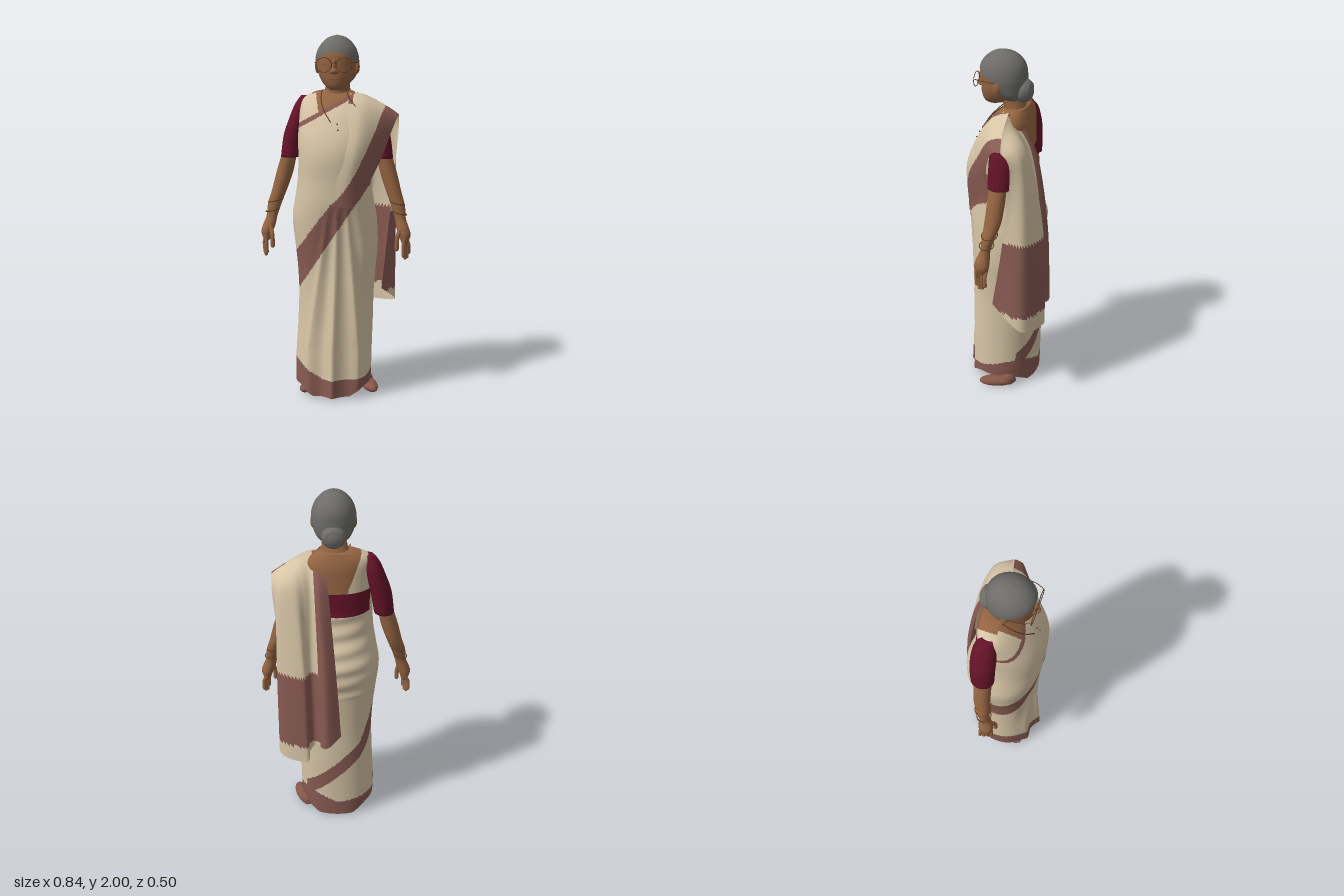
import * as THREE from 'three';

const mat = (name, color) => {
  const m = new THREE.MeshStandardMaterial({ color, side: THREE.DoubleSide });
  m.name = name;
  return m;
};
const M = {
  cream: mat('cream cloth', 0xd6c4a6), border: mat('rose border', 0x875a52), blouse: mat('maroon blouse', 0x641328),
  skin: mat('skin', 0x946442), hair: mat('grey hair', 0x6d6c69), metal: mat('dark bronze', 0x5a3822),
  lips: mat('lips', 0x8a5843), shoe: mat('shoe', 0x85564a),
};
const clamp = (v) => Math.min(1, Math.max(0, v));

// Catmull-Rom through rows of numbers, t in 0..rows-1
function spline(rows, t) {
  const n = rows.length - 1, i = Math.min(n - 1, Math.floor(t)), f = t - i;
  const [a, b, c, d] = [Math.max(0, i - 1), i, i + 1, Math.min(n, i + 2)].map((k) => rows[k]);
  return b.map((p, k) => p + 0.5 * f * (c[k] - a[k] + f * (2 * a[k] - 5 * p + 4 * c[k] - d[k] + f * (3 * (p - c[k]) + d[k] - a[k]))));
}

// Grid of points to a mesh; paint(centre, t, v) picks a material per triangle, or null for a gap
function skinGrid(name, grid, wrap, paint, cap) {
  const m = grid.length, n = grid[0].length, pos = grid.flat().flatMap((p) => [p.x, p.y, p.z]);
  const buckets = new Map();
  const add = (material, ...ids) => {
    if (!material) return;
    if (!buckets.has(material)) buckets.set(material, []);
    buckets.get(material).push(...ids);
  };
  const flat = grid.flat(), c = new THREE.Vector3();
  const tri = (t, v, ...ids) => {
    c.set(0, 0, 0);
    for (const id of ids) c.addScaledVector(flat[id], 1 / 3);
    add(paint(c, t, v), ...ids);
  };
  for (let j = 0; j < m - 1; j++) for (let i = 0; i < (wrap ? n : n - 1); i++) {
    const k = (i + 1) % n, a = j * n + i, b = j * n + k, u = a + n, d = b + n;
    tri((j + 0.33) / (m - 1), (i + 0.33) / (n - 1), a, u, b);
    tri((j + 0.67) / (m - 1), (i + 0.67) / (n - 1), b, u, d);
  }
  if (cap) for (const j of [0, m - 1]) {
    const mid = grid[j].reduce((s, p) => s.add(p), new THREE.Vector3()).divideScalar(n);
    const id = pos.length / 3;
    pos.push(mid.x, mid.y, mid.z);
    for (let i = 0; i < n; i++) {
      const a = j * n + i, b = j * n + (i + 1) % n;
      add(paint(mid, j / (m - 1), 0), id, ...(j ? [b, a] : [a, b]));
    }
  }
  const g = new THREE.BufferGeometry(), index = [], mats = [];
  g.setAttribute('position', new THREE.Float32BufferAttribute(pos, 3));
  for (const [material, ids] of buckets) {
    g.addGroup(index.length, ids.length, mats.length);
    for (const id of ids) index.push(id);
    mats.push(material);
  }
  g.setIndex(index);
  g.computeVertexNormals();
  const mesh = new THREE.Mesh(g, mats);
  mesh.name = name;
  return mesh;
}

// Rings from rows [y, xMin, xMax, zBack, zFront], listed upwards
function loft(name, rows, paint, { n = 28, m = 32, p = 1, mirror = 1, deform, cap = true } = {}) {
  const grid = [];
  for (let j = 0; j <= m; j++) {
    let [y, x0, x1, z0, z1] = spline(rows, (j / m) * (rows.length - 1));
    if (mirror < 0) [x0, x1] = [-x1, -x0];
    grid.push(Array.from({ length: n }, (_, i) => {
      const a = (i / n) * Math.PI * 2, c = Math.cos(a), s = Math.sin(a);
      const v = new THREE.Vector3((x0 + x1) / 2 + (x1 - x0) / 2 * Math.sign(c) * Math.abs(c) ** p, y,
        (z0 + z1) / 2 + (z1 - z0) / 2 * Math.sign(s) * Math.abs(s) ** p);
      if (deform) deform(v, s);
      return v;
    }));
  }
  return skinGrid(name, grid, true, typeof paint === 'function' ? paint : () => paint, cap);
}

// Cloth through rows of points laid flat as x,y,z,x,y,z...
function sheet(name, rows, paint, m = 70, n = 50) {
  const grid = [];
  for (let j = 0; j <= m; j++) {
    const r = spline(rows, (j / m) * (rows.length - 1));
    const pts = Array.from({ length: r.length / 3 }, (_, i) => r.slice(i * 3, i * 3 + 3));
    grid.push(Array.from({ length: n + 1 }, (_, i) => new THREE.Vector3(...spline(pts, (i / n) * (pts.length - 1)))));
  }
  return skinGrid(name, grid, false, paint, false);
}

function part(name, geometry, material, p = [0, 0, 0], s = [1, 1, 1], r = [0, 0, 0]) {
  const mesh = new THREE.Mesh(geometry, material);
  mesh.name = name;
  mesh.position.set(...p);
  mesh.scale.set(...s);
  mesh.rotation.set(...r);
  return mesh;
}
const ball = new THREE.SphereGeometry(1, 20, 14);
const tube = (pts, r) => new THREE.TubeGeometry(new THREE.CatmullRomCurve3(pts.map((p) => new THREE.Vector3(...p))), 14, r, 8);

// Colours of the wrapped dress
function paintBody({ x, y, z }) {
  const hem = 0.115 + 0.09 * clamp((-x - 0.05) / 0.15) * (z > 0 ? 1 : 0.2) + 0.1 * clamp(x / 0.2) * clamp((0.14 - z) / 0.3);
  if (y < hem) return M.border;
  if (z > 0.02) {
    if (y < 1.10 + 1.33 * x && y > 0.9 + 1.5 * x) return M.border;
    const trim = y - (1.62 + 0.55 * x);
    if (Math.abs(trim) < 0.013 && y > 1.5) return M.border;
    return trim > 0 && x > -0.1 - 0.3 * (y - 1.66) && x < 0.08 && y > 1.57 ? M.skin : M.cream;
  }
  // border winding round the right hip and down across the back
  const turn = x < -0.1 ? clamp((z + 0.12) / 0.14) : 0;
  if (x < 0.17 && Math.abs(y - (0.34 - 0.95 * x + 0.18 * turn)) < 0.052 + 0.06 * turn) return M.border;
  if (y > 1.48 && x > -0.06 - 0.35 * (y - 1.48) && (z < -0.03 || y > 1.66)) return M.skin;
  return z < -0.03 && y > 1.35 && y < 1.48 ? M.blouse : M.cream;
}
// Fanned pleats in front, soft wrinkles behind, hem lifted over the feet
function foldBody(v, s) {
  const low = clamp((1.08 - v.y) / 0.8);
  if (s > 0) {
    const fan = (v.x - 0.05) / (0.35 + 0.65 * low);
    v.z += 0.04 * Math.sqrt(low) * s * (0.4 - Math.abs(Math.sin(22 * fan + 0.9))) * clamp(1.5 - 5 * Math.abs(fan));
  } else if (v.y > 0.85 && v.y < 1.35) v.z += 0.005 * s * Math.sin(v.y * 62 + v.x * 9);
  if (v.y < 0.12) v.y += (0.12 - v.y) * 0.5 * clamp((Math.abs(v.x) - 0.1) / 0.08);
}

function makeArm(side) {
  const arm = new THREE.Group();
  arm.name = side > 0 ? 'leftArm' : 'rightArm';
  const shoulder = side > 0 ? [[1.59, 0.15, 0.225, -0.07, 0.015]] : [[1.62, 0.14, 0.235, -0.08, 0.035], [1.67, 0.14, 0.2, -0.05, 0.01]];
  arm.add(loft('sleeve', [[1.33, 0.205, 0.314, -0.08, 0.047], [1.45, 0.185, 0.298, -0.088, 0.047], [1.54, 0.16, 0.268, -0.09, 0.045],
    ...shoulder], M.blouse, { mirror: side }));
  arm.add(loft('forearm', [[0.865, 0.37, 0.405, 0.01, 0.075], [0.91, 0.355, 0.42, 0.0, 0.082], [0.95, 0.34, 0.41, 0.0, 0.075],
    [1.0, 0.33, 0.392, 0.0, 0.055], [1.07, 0.308, 0.385, -0.02, 0.05], [1.15, 0.278, 0.362, -0.045, 0.045],
    [1.25, 0.244, 0.337, -0.055, 0.04], [1.37, 0.22, 0.3, -0.06, 0.038]], M.skin, { mirror: side }));
  for (let i = 0; i < 4; i++) {
    const z = 0.014 + i * 0.019, tip = [0.81, 0.79, 0.785, 0.8][i], x = side * (0.408 - i * 0.008);
    arm.add(part('finger', tube([[side * 0.388, 0.9, z], [x, 0.85, z + 0.002], [x, tip, z]], 0.0105), M.skin));
    arm.add(part('fingertip', ball, M.skin, [x, tip, z], [0.0105, 0.012, 0.0105]));
  }
  arm.add(part('thumb', tube([[side * 0.365, 0.95, 0.06], [side * 0.35, 0.9, 0.082], [side * 0.347, 0.84, 0.085]], 0.012), M.skin));
  arm.add(part('thumbTip', ball, M.skin, [side * 0.347, 0.84, 0.085], [0.012, 0.014, 0.012]));
  for (const [x, y, z, r] of [[0.358, 1.03, 0.022, 0.039], [0.341, 1.085, 0.011, 0.043]])
    arm.add(part('bangle', new THREE.TorusGeometry(r, 0.0026, 8, 32), M.metal, [side * x, y, z], [1, 1, 1], [Math.PI / 2, side * -0.25, 0]));
  arm.add(part('ring', new THREE.TorusGeometry(0.012, 0.0025, 6, 16), M.metal, [side * 0.392, 0.855, 0.054], [1, 1, 1], [Math.PI / 2, 0, 0]));
  return arm;
}

function makeHead() {
  const head = new THREE.Group();
  head.name = 'head';
  head.position.x = 0.012;
  head.add(loft('neck', [[1.65, -0.11, 0.08, -0.09, 0.05], [1.7, -0.08, 0.065, -0.075, 0.045], [1.76, -0.064, 0.062, -0.055, 0.07],
    [1.82, -0.06, 0.06, -0.05, 0.08]], M.skin));
  head.add(loft('face', [[1.708, -0.025, 0.025, 0.07, 0.13], [1.722, -0.05, 0.05, 0.03, 0.15], [1.75, -0.078, 0.078, -0.02, 0.16],
    [1.79, -0.098, 0.098, -0.05, 0.165], [1.83, -0.105, 0.105, -0.06, 0.166], [1.87, -0.108, 0.108, -0.06, 0.168],
    [1.91, -0.1, 0.1, -0.05, 0.16], [1.95, -0.07, 0.07, -0.02, 0.12]], M.skin, { p: 0.95 }));
  // hair cap with an opening for the face
  head.add(loft('hair', [[1.735, -0.05, 0.05, -0.05, 0.03], [1.77, -0.09, 0.09, -0.07, 0.07], [1.82, -0.112, 0.112, -0.08, 0.14],
    [1.87, -0.118, 0.118, -0.082, 0.172], [1.92, -0.106, 0.106, -0.075, 0.168], [1.96, -0.08, 0.08, -0.05, 0.14],
    [1.988, -0.045, 0.045, -0.01, 0.1], [2.0, -0.003, 0.003, 0.045, 0.051]],
  ({ x, y, z }) => (z > 0.05 + 0.45 * Math.max(0, y - 1.82) && y < 1.91 - 4 * x * x ? null : M.hair), { n: 72, m: 64 }));
  head.add(part('bun', ball, M.hair, [0, 1.79, -0.067], [0.066, 0.064, 0.05]));
  head.add(part('bunCoil', new THREE.TorusGeometry(0.035, 0.02, 12, 32), M.hair, [0, 1.79, -0.088]));
  head.add(part('noseBridge', ball, M.skin, [0, 1.835, 0.168], [0.013, 0.042, 0.018]));
  head.add(part('noseTip', ball, M.skin, [0, 1.81, 0.176], [0.02, 0.016, 0.02]));
  head.add(part('mouth', ball, M.lips, [0, 1.769, 0.158], [0.03, 0.005, 0.006]));
  head.add(part('bridge', tube([[-0.012, 1.85, 0.18], [0, 1.856, 0.186], [0.012, 1.85, 0.18]], 0.002), M.metal));
  for (const s of [-1, 1]) {
    head.add(part('nostril', ball, M.skin, [s * 0.016, 1.806, 0.168], [0.011, 0.01, 0.014]));
    head.add(part('eye', ball, M.lips, [s * 0.046, 1.847, 0.152], [0.016, 0.005, 0.005], [0, s * 0.3, 0]));
    head.add(part('ear', ball, M.skin, [s * 0.109, 1.83, 0.045], [0.013, 0.036, 0.022]));
    head.add(part('glassesRim', new THREE.TorusGeometry(0.042, 0.002, 8, 36), M.metal, [s * 0.054, 1.843, 0.178], [1, 0.92, 1]));
    head.add(part('glassesTemple', tube([[s * 0.096, 1.855, 0.177], [s * 0.113, 1.856, 0.13], [s * 0.117, 1.85, 0.045]], 0.002), M.metal));
  }
  return head;
}

export function createModel() {
  const model = new THREE.Group();
  model.name = 'drapedWoman';
  model.add(loft('dress', [[0.015, -0.22, 0.2, -0.15, 0.24], [0.1, -0.223, 0.203, -0.153, 0.235], [0.2, -0.222, 0.205, -0.155, 0.23],
    [0.3, -0.217, 0.207, -0.158, 0.224], [0.4, -0.211, 0.21, -0.16, 0.218], [0.5, -0.207, 0.212, -0.16, 0.213],
    [0.6, -0.205, 0.215, -0.16, 0.21], [0.73, -0.212, 0.225, -0.163, 0.208], [0.85, -0.225, 0.235, -0.17, 0.212],
    [1.0, -0.24, 0.228, -0.185, 0.225], [1.1, -0.225, 0.212, -0.172, 0.235], [1.22, -0.205, 0.195, -0.14, 0.236],
    [1.35, -0.2, 0.2, -0.125, 0.238], [1.45, -0.203, 0.208, -0.12, 0.215], [1.55, -0.2, 0.2, -0.115, 0.165],
    [1.62, -0.197, 0.18, -0.11, 0.115], [1.66, -0.182, 0.145, -0.1, 0.075], [1.685, -0.14, 0.11, -0.09, 0.045],
    [1.7, -0.09, 0.08, -0.08, 0.03], [1.702, -0.03, 0.03, -0.04, 0.01]],
  paintBody, { n: 160, m: 200, p: 0.92, deform: foldBody, cap: false }));

  // cloth crossing the left chest up to the shoulder, with its border along the outer edge
  model.add(sheet('frontDrape', [
    [0.0, 1.105, 0.236, 0.06, 1.09, 0.232, 0.11, 1.09, 0.216, 0.155, 1.125, 0.18],
    [0.06, 1.36, 0.227, 0.13, 1.35, 0.219, 0.19, 1.34, 0.165, 0.25, 1.32, 0.07],
    [0.07, 1.52, 0.172, 0.15, 1.51, 0.163, 0.22, 1.49, 0.115, 0.3, 1.46, 0.04],
    [0.08, 1.645, 0.09, 0.16, 1.635, 0.08, 0.25, 1.595, 0.045, 0.335, 1.555, 0.0],
    [0.07, 1.695, -0.01, 0.15, 1.68, -0.02, 0.25, 1.63, -0.03, 0.34, 1.57, -0.05],
  ], ({ x, y }, t, v) => (y < 1.1 + 0.7 * x + 4.5 * x * x || (t > 0.72 && v < 0.12) ? M.border : M.cream)));

  // cloth hanging in folds down the back
  model.add(sheet('backDrape', [
    [0.07, 1.695, -0.01, 0.1, 1.692, -0.015, 0.15, 1.68, -0.02, 0.2, 1.658, -0.025, 0.25, 1.63, -0.03, 0.3, 1.6, -0.04, 0.34, 1.57, -0.05],
    [0.04, 1.5, -0.135, 0.09, 1.5, -0.155, 0.13, 1.5, -0.13, 0.17, 1.52, -0.14, 0.22, 1.52, -0.16, 0.3, 1.5, -0.15, 0.335, 1.46, -0.1],
    [0.0, 1.05, -0.19, 0.06, 1.05, -0.22, 0.12, 1.05, -0.18, 0.15, 1.05, -0.19, 0.18, 1.05, -0.235, 0.315, 1.05, -0.17, 0.3, 1.05, -0.05],
    [-0.03, 0.62, -0.2, 0.05, 0.56, -0.235, 0.11, 0.55, -0.18, 0.145, 0.52, -0.2, 0.165, 0.475, -0.245, 0.32, 0.49, -0.16, 0.26, 0.6, 0.03],
  ], ({ y }, t, v) => (v < 0.26 || (y < 1.03 && y > 0.575) ? M.border : M.cream)));

  model.add(makeArm(1), makeArm(-1), makeHead());

  // necklace cords and beads
  model.add(part('necklace', tube([[-0.075, 1.705, 0.03], [-0.07, 1.65, 0.094], [-0.045, 1.595, 0.145], [-0.01, 1.545, 0.174]], 0.0026), M.metal));
  model.add(part('necklace', tube([[0.06, 1.705, 0.035], [0.085, 1.66, 0.085], [0.12, 1.62, 0.105]], 0.0026), M.metal));
  for (const [x, y, z] of [[-0.008, 1.542, 0.176], [0.03, 1.53, 0.18], [0.035, 1.5, 0.194]])
    model.add(part('bead', ball, M.metal, [x, y, z], [0.004, 0.004, 0.004]));

  // feet, turned slightly outwards
  for (const [x, z, turn, name] of [[0.195, 0.025, 0.35, 'leftFoot'], [-0.14, 0.08, -0.25, 'rightFoot']]) {
    const foot = new THREE.Group();
    foot.name = name;
    foot.position.set(x, 0, z);
    foot.rotation.y = turn;
    foot.add(part('shoe', ball, M.shoe, [0, 0.032, 0], [0.042, 0.03, 0.108]));
    foot.add(part('heel', ball, M.shoe, [0, 0.045, -0.06], [0.033, 0.043, 0.045]));
    foot.add(part('ankle', new THREE.CylinderGeometry(0.03, 0.03, 0.16, 20), M.skin, [-Math.sign(x) * 0.035, 0.11, -0.045]));
    model.add(foot);
  }
  return model;
}
